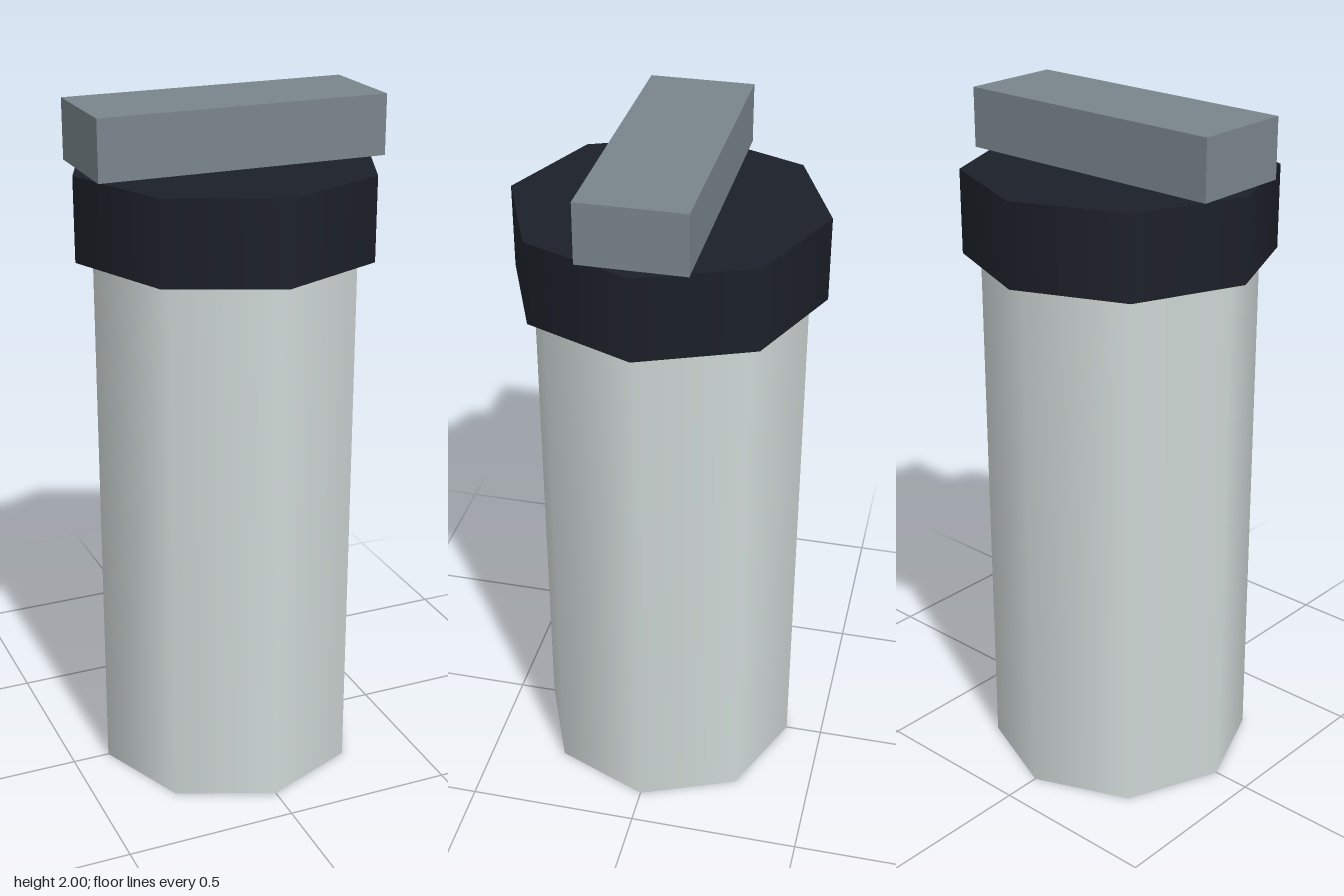
import * as THREE from 'three';

export function createModel() {
  const group = new THREE.Group();

  const addPart = (name, geometry, color, bottom, top) => {
    const mesh = new THREE.Mesh(geometry, new THREE.MeshStandardMaterial({ color }));
    mesh.name = name;
    mesh.position.y = (bottom + top) / 2;
    group.add(mesh);
  };

  // Eight-sided upright with smooth sides and flat ends
  const addOctagon = (name, radius, color, bottom, top) =>
    addPart(name, new THREE.CylinderGeometry(radius, radius, top - bottom, 8), color, bottom, top);

  // Canister body and its wider collar
  addOctagon('body', 0.39, 0xcfd8d6, 0, 1.58);
  addOctagon('cap', 0.44, 0x1b2028, 1.58, 1.82);

  // Grip bar floating just above the cap
  addPart('handle', new THREE.BoxGeometry(0.835, 0.17, 0.295), 0x78848b, 1.83, 2);

  return group;
}
